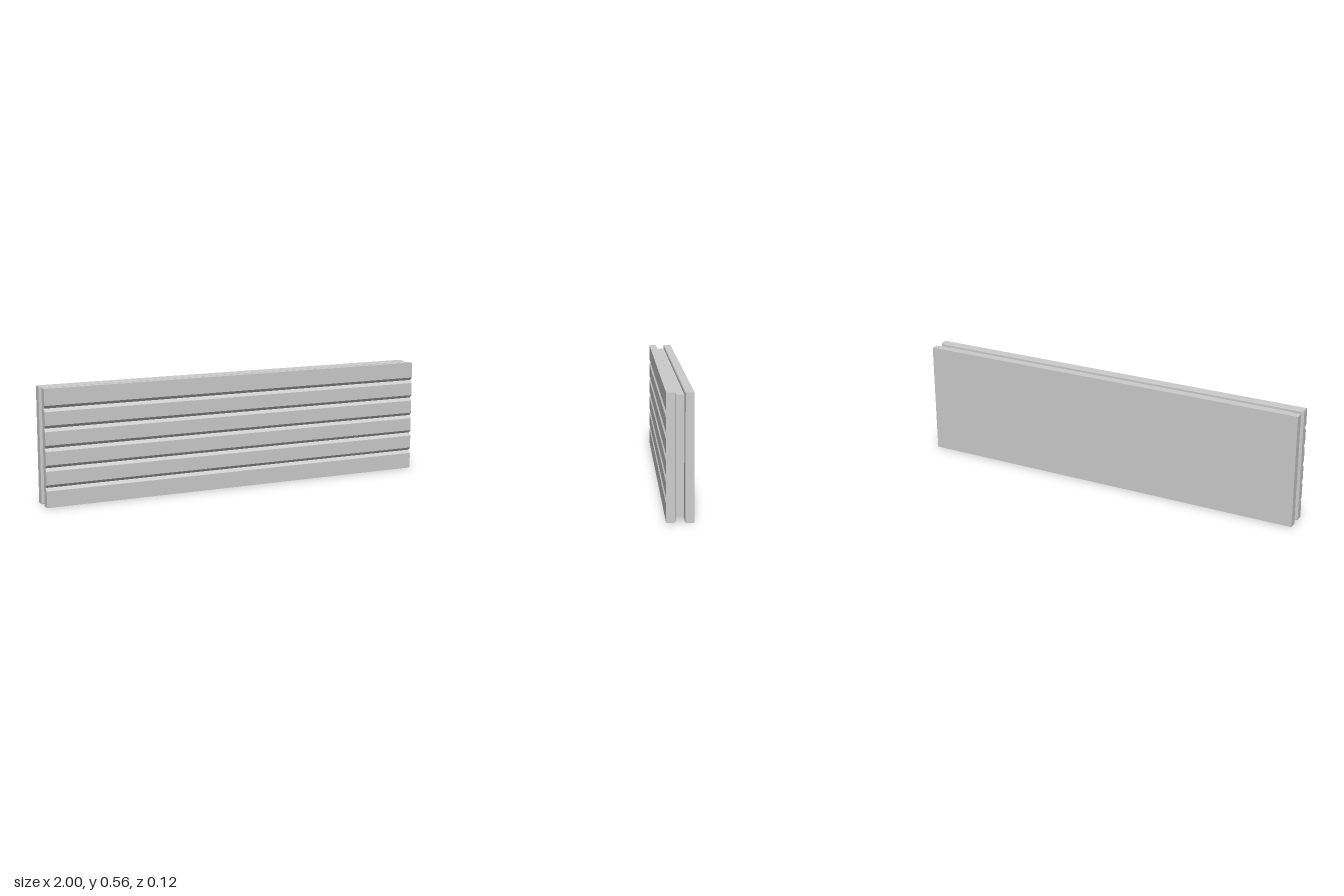
import * as THREE from 'three';

const W = 2, H = 0.56, INNER = 0.02, LIP = 0.0025, OUTER = 0.06;
const BEVEL = 0.012; // inset of the shallow bevel on the inner faces

const material = new THREE.MeshStandardMaterial({ color: 0xcccccc, flatShading: true });

function add(parent, name, geometry, x = 0, y = 0, z = 0) {
  const mesh = new THREE.Mesh(geometry, material);
  mesh.name = name;
  mesh.position.set(x, y, z);
  parent.add(mesh);
  return mesh;
}

// Profile in (z, y) with V-grooves down the outer edge, extruded along x
function groovedBoard() {
  const count = 5, half = 0.0145, depth = 0.0145;
  const shape = new THREE.Shape();
  shape.moveTo(INNER + LIP, 0);
  shape.lineTo(OUTER, 0);
  for (let i = 1; i <= count; i++) {
    const y = (H * i) / (count + 1);
    shape.lineTo(OUTER, y - half);
    shape.lineTo(OUTER - depth, y);
    shape.lineTo(OUTER, y + half);
  }
  shape.lineTo(OUTER, H);
  shape.lineTo(INNER + LIP, H);
  shape.closePath();
  const geometry = new THREE.ExtrudeGeometry(shape, { depth: W, bevelEnabled: false });
  geometry.rotateY(-Math.PI / 2);
  geometry.translate(W / 2, 0, 0);
  return geometry;
}

// Thin slab whose inner face (towards z = 0) is inset all round
function bevelledLip(side) {
  const geometry = new THREE.BoxGeometry(W, H, LIP);
  const p = geometry.attributes.position;
  for (let i = 0; i < p.count; i++) {
    if (p.getZ(i) * side < 0) {
      p.setX(i, p.getX(i) - Math.sign(p.getX(i)) * BEVEL);
      p.setY(i, p.getY(i) - Math.sign(p.getY(i)) * BEVEL / 2);
    }
  }
  geometry.computeVertexNormals();
  return geometry;
}

export function createModel() {
  const model = new THREE.Group();
  model.name = 'groovedPanel';

  // Front and back boards
  const front = new THREE.Group();
  front.name = 'frontBoard';
  add(front, 'groovedFace', groovedBoard());
  add(front, 'frontInnerBevel', bevelledLip(1), 0, H / 2, INNER + LIP / 2);

  const back = new THREE.Group();
  back.name = 'backBoard';
  const thickness = OUTER - INNER - LIP;
  add(back, 'plainFace', new THREE.BoxGeometry(W, H, thickness), 0, H / 2, -OUTER + thickness / 2);
  add(back, 'backInnerBevel', bevelledLip(-1), 0, H / 2, -INNER - LIP / 2);

  // Recessed core between the boards
  model.add(front, back);
  add(model, 'core', new THREE.BoxGeometry(1.89, 0.528, INNER * 2), 0, H / 2, 0);
  return model;
}
